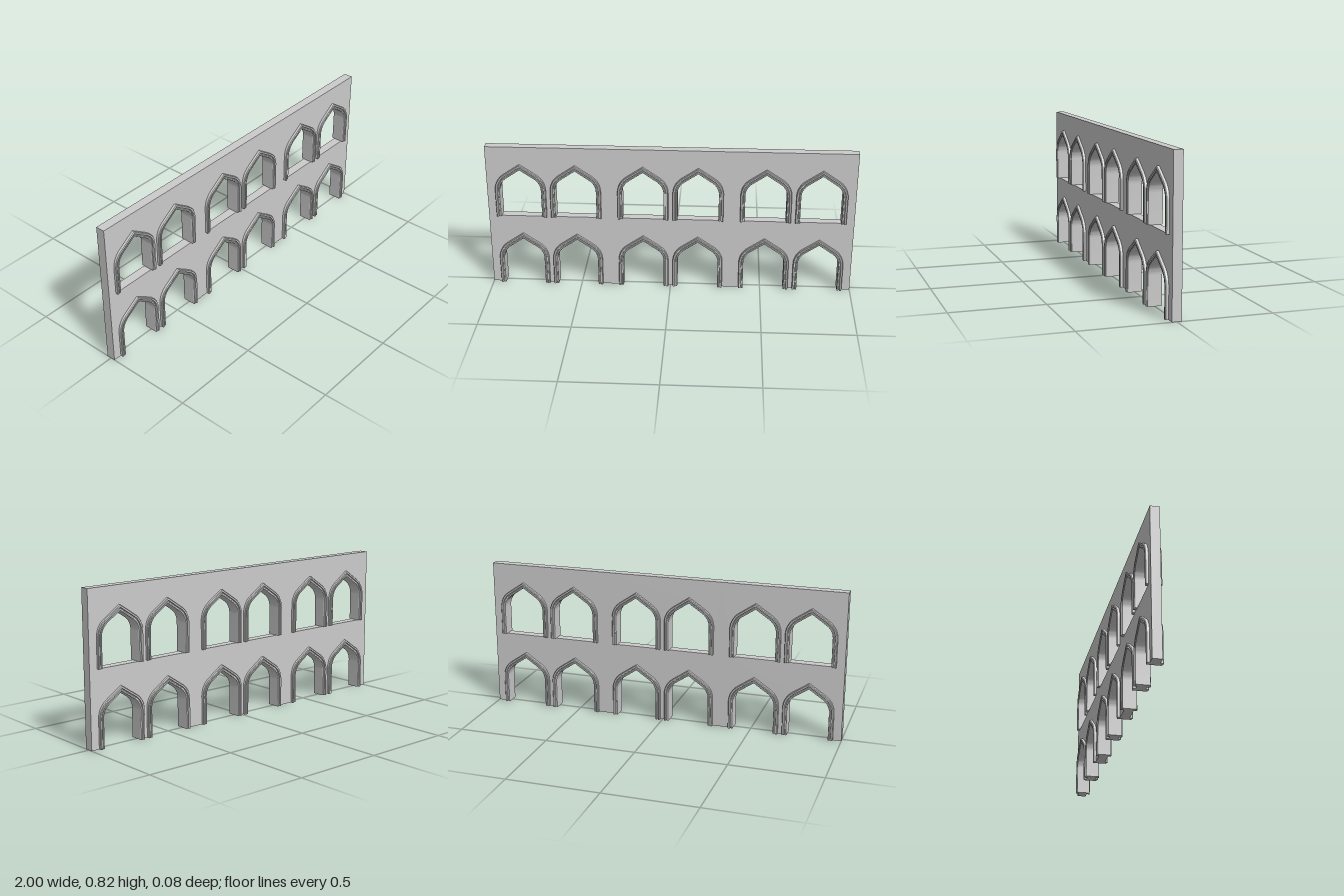
import * as THREE from 'three';
import { toCreasedNormals } from 'three/addons/utils/BufferGeometryUtils.js';

const material = new THREE.MeshStandardMaterial({ color: 0xcccccc });
const BAY = 2 / 3, HEIGHT = 0.82, WALL = 0.05, SILL = 0.413;
const ARCH_X = [-0.15, 0.15];
const SLOPE = 0.977; // angle where the shoulder curve meets the straight pitch

// Pointed arch from right foot over the apex to left foot, inset by d
function archPoints(d) {
  const cx = 0.029, cy = 0.157, r = 0.109 - d, n = 10;
  const right = [new THREE.Vector2(cx + r, 0)];
  for (let i = 0; i <= n; i++) {
    const a = (SLOPE * i) / n;
    right.push(new THREE.Vector2(cx + r * Math.cos(a), cy + r * Math.sin(a)));
  }
  const apex = new THREE.Vector2(0, cy + (r + cx * Math.cos(SLOPE)) / Math.sin(SLOPE));
  const left = right.map(p => new THREE.Vector2(-p.x, p.y)).reverse();
  return [...right, apex, ...left];
}

// Moulding section: two ribs with a groove, mirrored to the back, as (inset, z)
const frontProfile = [
  [0.026, 0.034], [0.024, 0.038], [0.018, 0.038], [0.016, 0.033],
  [0.013, 0.033], [0.011, 0.041], [0.009, 0.042], [0.003, 0.042], [0, 0.038],
];
const profile = [...frontProfile, ...frontProfile.map(([d, z]) => [d, -z]).reverse()];

// Sweep the section along the arch and close both feet
function mouldingGeometry() {
  const rails = profile.map(([d]) => archPoints(d));
  const m = profile.length, n = rails[0].length;
  const positions = [], index = [];
  for (let i = 0; i < n; i++) {
    for (let j = 0; j < m; j++) positions.push(rails[j][i].x, rails[j][i].y, profile[j][1]);
  }
  for (let i = 0; i < n - 1; i++) {
    for (let j = 0; j < m; j++) {
      const k = (j + 1) % m;
      const a = i * m + j, b = i * m + k, c = a + m, d = b + m;
      index.push(a, b, d, a, d, c);
    }
  }
  const end = (n - 1) * m;
  const section = profile.map(([d, z]) => new THREE.Vector2(d, z));
  for (const [a, b, c] of THREE.ShapeUtils.triangulateShape(section, [])) {
    index.push(a, c, b, end + a, end + b, end + c);
  }
  const geometry = new THREE.BufferGeometry();
  geometry.setAttribute('position', new THREE.Float32BufferAttribute(positions, 3));
  geometry.setIndex(index);
  return toCreasedNormals(geometry, 0.4);
}

// Wall bay: doorways cut from the bottom edge, windows as holes
function wallGeometry() {
  const w = BAY / 2;
  const opening = archPoints(0.014);
  const at = (x, y) => opening.map(p => new THREE.Vector2(p.x + x, p.y + y));
  const outline = [new THREE.Vector2(-w, 0)];
  for (const x of ARCH_X) outline.push(...at(x, 0).reverse());
  outline.push(new THREE.Vector2(w, 0), new THREE.Vector2(w, HEIGHT), new THREE.Vector2(-w, HEIGHT));
  const shape = new THREE.Shape(outline);
  for (const x of ARCH_X) shape.holes.push(new THREE.Path(at(x, SILL)));
  const geometry = new THREE.ExtrudeGeometry(shape, { depth: WALL, bevelEnabled: false });
  geometry.translate(0, 0, -WALL / 2);
  return geometry;
}

export function createModel() {
  const model = new THREE.Group();
  model.name = 'arcadeWall';
  const wall = wallGeometry();
  const moulding = mouldingGeometry();

  // Three identical bays, each with two doorways below two windows
  for (const bayX of [-BAY, 0, BAY]) {
    const bay = new THREE.Group();
    bay.name = 'bay';
    bay.position.x = bayX;
    const panel = new THREE.Mesh(wall, material);
    panel.name = 'wallPanel';
    bay.add(panel);
    for (const x of ARCH_X) {
      for (const y of [0, SILL]) {
        const arch = new THREE.Mesh(moulding, material);
        arch.name = y ? 'windowMoulding' : 'doorwayMoulding';
        arch.position.set(x, y, 0);
        bay.add(arch);
      }
    }
    model.add(bay);
  }
  return model;
}
